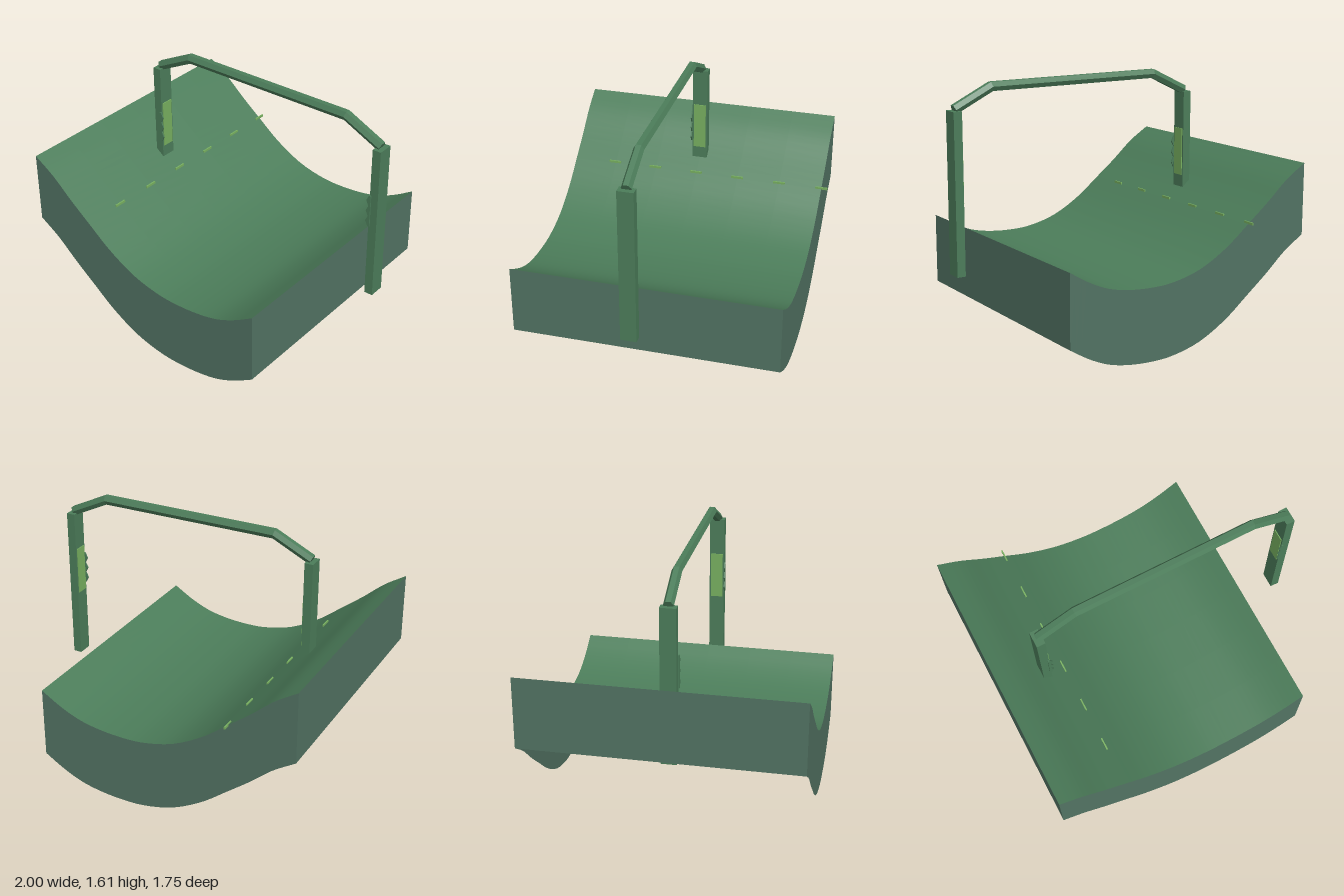
import * as THREE from 'three';

const mat = (name, color, side = THREE.FrontSide) => {
  const m = new THREE.MeshStandardMaterial({ color, side });
  m.name = name;
  return m;
};

export function createModel() {
  const group = new THREE.Group();
  const green = mat('frame green', 0x4c7d5a);
  const ground = mat('ground green', 0x4c7d5a, THREE.DoubleSide);
  const skirt = mat('skirt grey green', 0x527363, THREE.DoubleSide);
  const lime = mat('marker lime', 0x78b060, THREE.DoubleSide);

  const add = (name, geo, material, x = 0, y = 0, z = 0) => {
    const mesh = new THREE.Mesh(geo, material);
    mesh.name = name;
    mesh.position.set(x, y, z);
    group.add(mesh);
    return mesh;
  };

  // Valley profile, with a very slight tilt along z
  const X0 = -1, X1 = 0.705, Z0 = -0.835, Z1 = 0.87, DEPTH = 0.455;
  const STEPS = 40;
  const profile = new THREE.CatmullRomCurve3([
    [-1, 1.075], [-0.86, 0.985], [-0.72, 0.865], [-0.57, 0.747], [-0.4, 0.617],
    [-0.2, 0.511], [0, 0.462], [0.14, 0.455], [0.3, 0.466], [0.44, 0.495],
    [0.57, 0.55], [X1, 0.63],
  ].map(([x, y]) => new THREE.Vector3(x, y, 0))).getPoints(STEPS);
  const pointAt = (u, v) => {
    const p = profile[Math.round(u * STEPS)];
    const z = THREE.MathUtils.lerp(Z0, Z1, v);
    return new THREE.Vector3(p.x, p.y - 0.004 * z, z);
  };

  // Moves the vertices of a grid by a rule of its u and v
  const surface = (nu, nv, rule) => {
    const geo = new THREE.PlaneGeometry(1, 1, nu, nv);
    const pos = geo.attributes.position;
    for (let i = 0; i < pos.count; i++) {
      const p = rule(pos.getX(i) + 0.5, 0.5 - pos.getY(i));
      pos.setXYZ(i, p.x, p.y, p.z);
    }
    geo.computeVertexNormals();
    return geo;
  };

  add('groundSurface', surface(STEPS, 6, pointAt), ground);

  // Skirt walls hang from the four edges; the underside stays open
  const wall = (name, n, edge) => add(name, surface(n, 1, (u, v) => {
    const p = edge(u);
    p.y -= v * DEPTH;
    return p;
  }), skirt);
  wall('frontSkirt', STEPS, (u) => pointAt(u, 1));
  wall('backSkirt', STEPS, (u) => pointAt(1 - u, 0));
  wall('leftSkirt', 6, (u) => pointAt(1, 1 - u));
  wall('rightSkirt', 6, (u) => pointAt(0, u));

  // Dashed line across the slope
  for (let i = 0; i < 6; i++) {
    add('lineDash', new THREE.BoxGeometry(0.009, 0.015, 0.08), lime,
      -0.57, 0.752, 0.59 - i * 0.285);
  }

  // Arch: two posts, each with an inner panel and a toothed front plate
  const CX = 0.14, CZ = 0.02;
  for (const [s, side] of [[1, 'left'], [-1, 'right']]) {
    add(side + 'Post', new THREE.BoxGeometry(0.055, 1, 0.1), green, CX + s * 0.832, 0.955, CZ);
    add(side + 'Panel', new THREE.BoxGeometry(0.006, 0.31, 0.08), lime, CX + s * 0.802, 1.055, CZ);

    const teeth = new THREE.Shape();
    teeth.moveTo(s * 0.815, 0.94);
    for (let i = 0; i < 3; i++) {
      teeth.lineTo(s * 0.803, 0.94 + i * 0.07);
      teeth.lineTo(s * 0.786, 0.975 + i * 0.07);
    }
    teeth.lineTo(s * 0.803, 1.15);
    teeth.lineTo(s * 0.815, 1.15);
    add(side + 'TeethPlate',
      new THREE.ExtrudeGeometry(teeth, { depth: 0.008, bevelEnabled: false }), green, CX, 0, 0.071);
  }

  // Hexagonal top beam, mitred at its two bends
  const slope = Math.atan2(0.12, 0.247);
  const sections = [
    [-0.832, 1.463, slope, 1], [-0.585, 1.583, slope / 2, 1 / Math.cos(slope / 2)],
    [0.585, 1.583, -slope / 2, 1 / Math.cos(slope / 2)], [0.832, 1.463, -slope, 1],
  ];
  const R = 0.032, verts = [];
  const corner = (k, j) => {
    const [x, y, tilt, stretch] = sections[k];
    const a = (j * Math.PI) / 3;
    const h = R * Math.sin(a) * stretch;
    return [CX + x - h * Math.sin(tilt), y + h * Math.cos(tilt), CZ + R * Math.cos(a)];
  };
  for (let j = 0; j < 6; j++) {
    for (let k = 0; k < 3; k++) {
      const a = corner(k, j), b = corner(k + 1, j), c = corner(k + 1, j + 1), d = corner(k, j + 1);
      verts.push(...a, ...b, ...c, ...a, ...c, ...d);
    }
    const start = [CX + sections[0][0], sections[0][1], CZ];
    const end = [CX + sections[3][0], sections[3][1], CZ];
    verts.push(...start, ...corner(0, j), ...corner(0, j + 1));
    verts.push(...end, ...corner(3, j + 1), ...corner(3, j));
  }
  const beam = new THREE.BufferGeometry();
  beam.setAttribute('position', new THREE.Float32BufferAttribute(verts, 3));
  beam.computeVertexNormals();
  add('topBeam', beam, green);

  return group;
}
